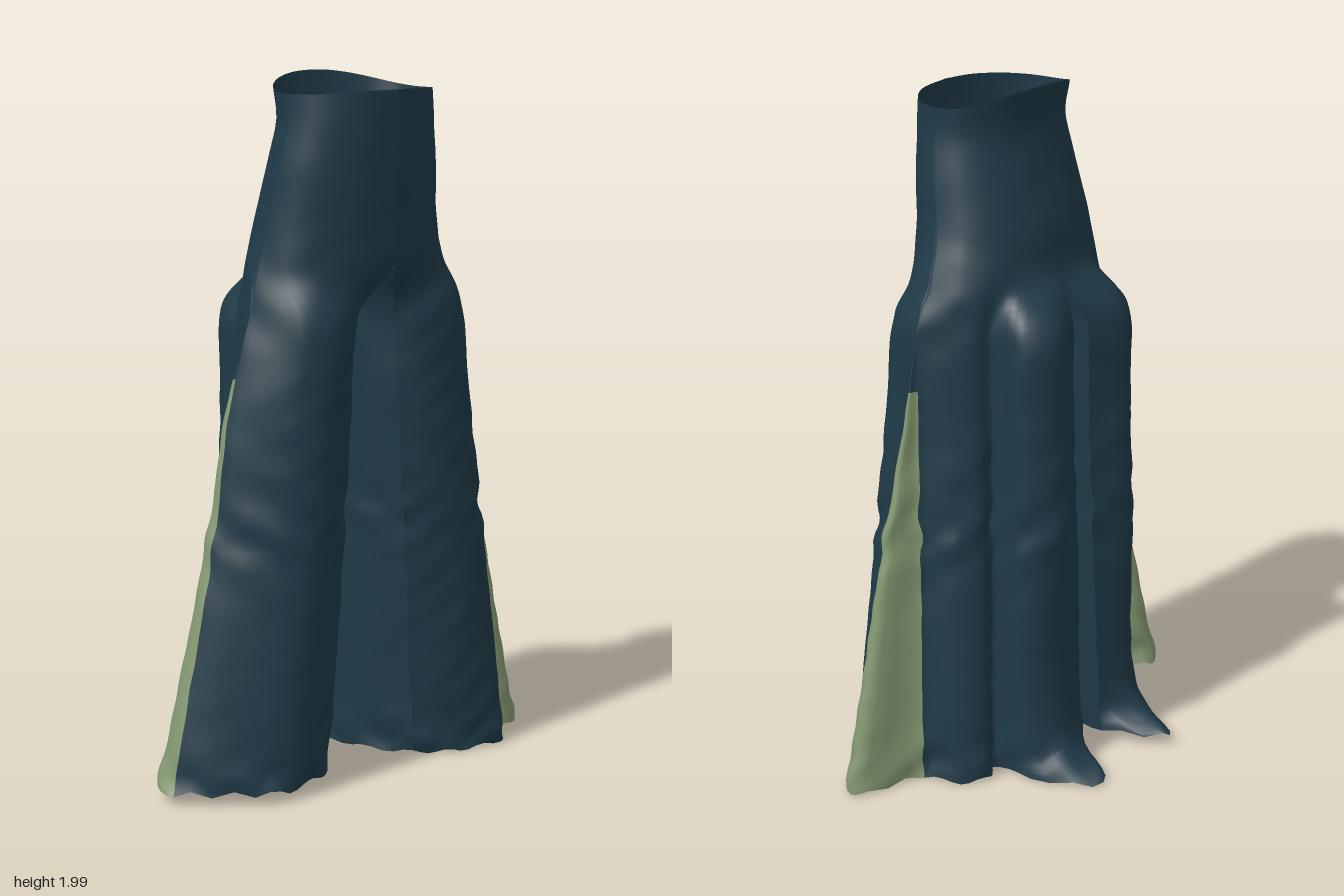
import * as THREE from 'three';

const navy = new THREE.MeshStandardMaterial({ color: 0x1f3a47, side: THREE.DoubleSide });
navy.name = 'dark teal cloth';
const sage = new THREE.MeshStandardMaterial({ color: 0x869a73, side: THREE.DoubleSide });
sage.name = 'sage cloth';

// Each half outline runs from front centre, round the outside, to back centre.
const ANGLES = [90, 66, 42, 22, 2, 1, -1, -2, -22, -38, -50, -62, -76, -90];
const GORE_FROM = 4, GORE_TO = 7, GORE_TOP = 1.2;
const SUB = 4;

// Round body sections: y, centre x, half width, back z, front z
const BODY = [
  [1.95, -0.022, 0.244, 0.0, 0.365],
  [1.88, -0.022, 0.246, 0.02, 0.365],
  [1.75, -0.022, 0.268, -0.005, 0.36],
  [1.6, -0.02, 0.29, -0.045, 0.35],
  [1.48, -0.012, 0.322, -0.065, 0.342],
];
const STEPS = [3, 5, 6, 6, 8, 10, 14, 26, 6]; // grid rows between levels
const CROTCH_ROW = 20;

// Leg outlines (distance from the middle, z) below the crotch and at the hem;
// the inner points run along the inside of the leg from back to front.
// flare is how far towards the hem outline the leg has spread at mid thigh.
const LEGS = [
  {
    name: 'leftLeg', s: 1, hemY: 0.017, flare: 0.17,
    thigh: [[.05, .275], [.1, .315], [.19, .335], [.3, .285], [.362, .15], [.36, .149], [.36, .147], [.36, .145],
      [.32, .07], [.27, .01], [.22, -.01], [.215, -.11], [.13, -.17], [.015, -.13]],
    hem: [[.16, .25], [.24, .3], [.34, .335], [.455, .33], [.41, .24], [.58, .245], [.638, .165], [.43, .085],
      [.39, -.02], [.31, -.065], [.25, -.03], [.24, -.14], [.13, -.215], [.0, -.16]],
    innerThigh: [[.012, -.01], [.015, .15]],
    innerHem: [[.06, 0], [.1, .14]],
  },
  {
    name: 'rightLeg', s: -1, hemY: 0.045, flare: 0.25,
    thigh: [[.08, .275], [.13, .315], [.22, .335], [.31, .285], [.368, .146], [.366, .144], [.366, .142], [.366, .14],
      [.33, .06], [.29, .0], [.26, -.01], [.255, -.1], [.17, -.165], [.04, -.13]],
    hem: [[.17, .245], [.25, .295], [.35, .33], [.47, .29], [.642, .13], [.625, .04], [.56, 0], [.44, .055],
      [.42, -.01], [.36, -.045], [.29, -.01], [.29, -.13], [.19, -.22], [.09, -.16]],
    innerThigh: [[.04, -.01], [.045, .15]],
    innerHem: [[.085, 0], [.11, .14]],
  },
];

// Small cloth wrinkles, stronger at the knees and hem
function wrinkle(p) {
  const { x, y, z } = p;
  const knee = Math.exp(-(((y - 0.75) / 0.07) ** 2));
  const hem = Math.exp(-(((y - 0.06) / 0.06) ** 2));
  const leg = THREE.MathUtils.smoothstep(1.75 - y, 0, 0.5);
  const a = 0.0005 + 0.0015 * leg + 0.003 * knee + 0.003 * hem;
  p.x += a * Math.sin(17 * y + 31 * z + 3 * Math.sin(9 * y));
  p.z += a * (Math.sin(13 * y + 29 * x + 4 * Math.sin(7 * y)) + Math.sin(53 * y - 43 * x) * Math.sin(11 * x + 5 * y));
  p.y += 0.01 * hem * Math.sin(47 * x + 29 * z);
  return p;
}

// Smooth grid: columns of points joined down the garment, then across it
function gridPoints(columns) {
  const downs = columns.map((column) => {
    const curve = new THREE.CatmullRomCurve3(column);
    const pts = [curve.getPoint(0)];
    STEPS.forEach((n, k) => {
      for (let i = 1; i <= n; i++) pts.push(curve.getPoint((k + i / n) / STEPS.length));
    });
    return pts;
  });
  return downs[0].map((_, r) => {
    const across = new THREE.CatmullRomCurve3(downs.map((d) => d[r]));
    return across.getPoints((columns.length - 1) * SUB).map(wrinkle);
  });
}

// Surface over a grid; isGore(row, column) picks the second material
function gridGeometry(rows, flip, isGore = () => false) {
  const w = rows[0].length, lists = [[], []];
  for (let r = 0; r < rows.length - 1; r++) {
    for (let c = 0; c < w - 1; c++) {
      const a = r * w + c, b = a + 1, d = a + w, e = d + 1;
      lists[isGore(r, c) ? 1 : 0].push(...(flip ? [a, b, d, b, e, d] : [a, d, b, b, d, e]));
    }
  }
  const g = new THREE.BufferGeometry().setFromPoints(rows.flat());
  g.setIndex([...lists[0], ...lists[1]]);
  g.addGroup(0, lists[0].length, 0);
  g.addGroup(lists[0].length, lists[1].length, 1);
  g.computeVertexNormals();
  return g;
}

function makeLeg({ name, s, hemY, flare, thigh, hem, innerThigh, innerHem }) {
  const group = new THREE.Group();
  group.name = name;

  // One line of points from waist to hem; side and depth place it on the round body
  const column = (side, depth, top, bottom, trail = 0) => {
    const pts = BODY.map(([y, cx, hw, zb, zf], k) => {
      const lift = k ? 0 : 0.048 * Math.max(0, -depth) ** 2 + 0.012 * Math.max(0, depth) ** 2;
      return new THREE.Vector3(cx + s * hw * side, y + lift, (zb + zf) / 2 + (depth * (zf - zb)) / 2);
    });
    const at = (f, y, dz = 0) => new THREE.Vector3(
      s * THREE.MathUtils.lerp(top[0], bottom[0], f), y, THREE.MathUtils.lerp(top[1], bottom[1], f) + dz);
    pts.push(at(0, 1.35), at(flare, 1.1), at(0.43, 0.78), at(0.93, 0.12), at(1, hemY, trail));
    return pts;
  };

  // Outer cloth with the side gore; the back hem trails out behind
  const trails = { 11: -0.03, 12: -0.13 };
  const columns = ANGLES.map((deg, i) => {
    const t = THREE.MathUtils.degToRad(deg);
    return column(Math.abs(Math.cos(t)) ** 0.95, Math.sin(t), thigh[i], hem[i], trails[i]);
  });
  const rows = gridPoints(columns);
  const isGore = (r, c) => c >= GORE_FROM * SUB && c < GORE_TO * SUB && rows[r][c].y < GORE_TOP;
  const outer = new THREE.Mesh(gridGeometry(rows, s < 0, isGore), [navy, sage]);
  outer.name = name + 'OuterCloth';

  // Inside of the leg, from the crotch to the hem, sharing the outer cloth's edges
  const middle = [-1 / 3, 1 / 3].map((depth, i) => column(0, depth, innerThigh[i], innerHem[i]));
  const innerRows = gridPoints([columns[columns.length - 1], ...middle, columns[0]]).slice(CROTCH_ROW);
  const inside = new THREE.Mesh(gridGeometry(innerRows, s < 0), navy);
  inside.name = name + 'InnerCloth';

  group.add(outer, inside);
  return group;
}

export function createModel() {
  const model = new THREE.Group();
  model.name = 'flaredTrousers';
  LEGS.forEach((leg) => model.add(makeLeg(leg)));
  return model;
}
